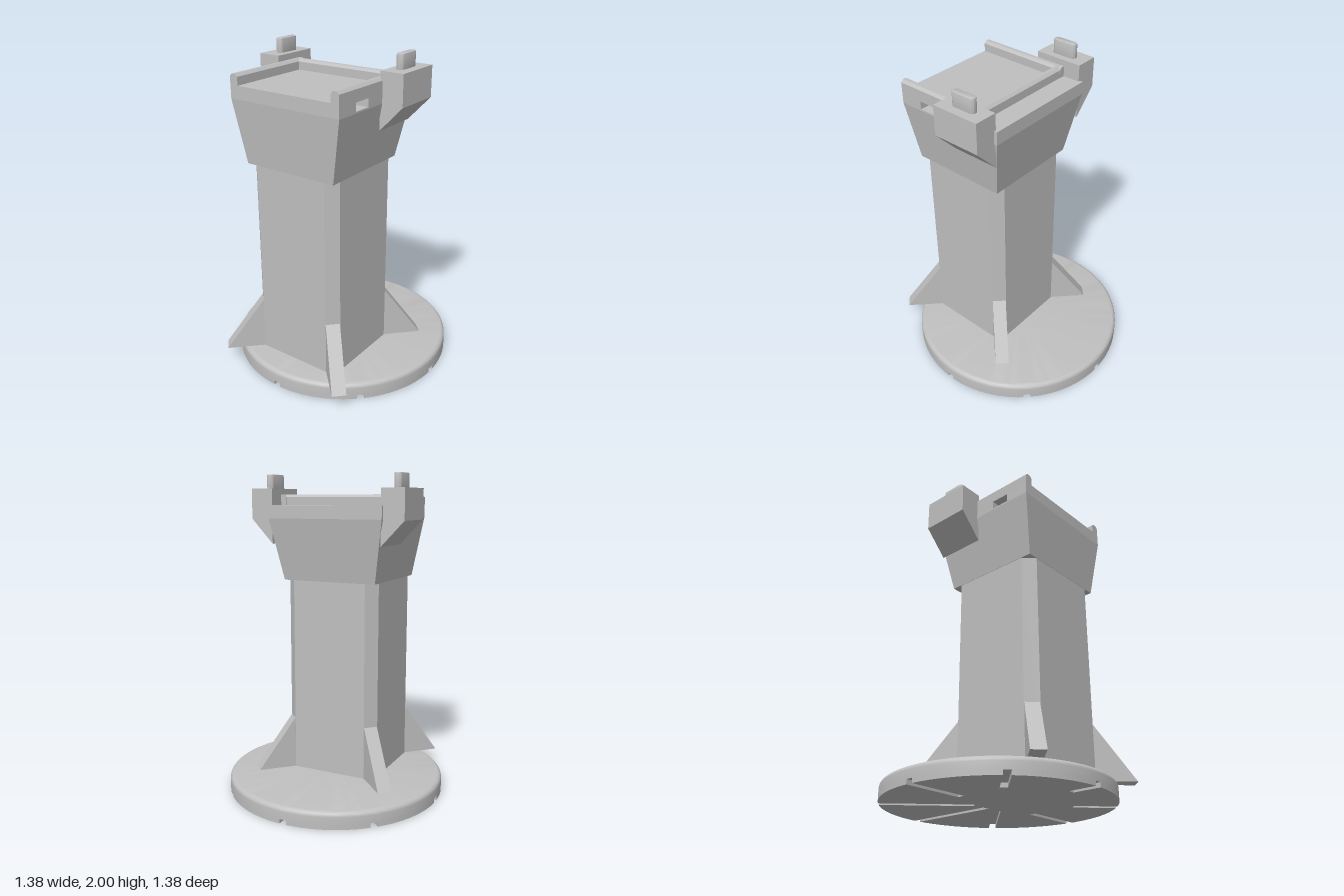
import * as THREE from 'three';
import { toCreasedNormals } from 'three/addons/utils/BufferGeometryUtils.js';

const COL_Z = 0.207; // centre of the square column
const HALF = 0.309; // half width of the column

export function createModel() {
  const group = new THREE.Group();
  const grey = new THREE.MeshStandardMaterial({ name: 'grey plastic', color: 0xbfbfbf });

  const add = (name, geometry, x = 0, y = 0, z = 0, ry = 0) => {
    const mesh = new THREE.Mesh(geometry, grey);
    mesh.name = name;
    mesh.position.set(x, y, z);
    mesh.rotation.y = ry;
    group.add(mesh);
    return mesh;
  };
  const poly = (pts) => new THREE.Shape(pts.map(([x, y]) => new THREE.Vector2(x, y)));
  const extrude = (shape, depth, options = {}) =>
    new THREE.ExtrudeGeometry(shape, { depth, bevelEnabled: false, ...options });

  // Round base with a softened upper rim
  const R = 0.69, slotTop = 0.028, baseTop = 0.105, round = 0.03;
  const profile = [new THREE.Vector2(0, slotTop), new THREE.Vector2(R, slotTop)];
  for (let i = 0; i <= 6; i++) {
    const a = (i / 6) * Math.PI / 2;
    profile.push(new THREE.Vector2(R - round + round * Math.cos(a), baseTop - round + round * Math.sin(a)));
  }
  profile.push(new THREE.Vector2(0, baseTop));
  add('base', toCreasedNormals(new THREE.LatheGeometry(profile, 96), 0.6));

  // Lower layer of the base, notched by eight radial slots that stop at the column outline
  const slotHalf = 0.022, slotAngle = Math.asin(slotHalf / R);
  const inner = [0.31, 0.14, 0.1, 0.14, 0.31, 0.435, 0.516, 0.435]; // from +x towards -z
  const outline = [];
  inner.forEach((r, i) => {
    const a = (i * Math.PI) / 4, c = Math.cos(a), s = Math.sin(a);
    outline.push([r * c + slotHalf * s, r * s - slotHalf * c], [r * c - slotHalf * s, r * s + slotHalf * c]);
    for (let k = 0; k <= 12; k++) {
      const t = a + slotAngle + (k / 12) * (Math.PI / 4 - 2 * slotAngle);
      outline.push([R * Math.cos(t), R * Math.sin(t)]);
    }
  });
  const slots = extrude(poly(outline), slotTop);
  slots.rotateX(-Math.PI / 2);
  add('slottedBaseLayer', toCreasedNormals(slots, 0.3));

  // Square column with chamfered corners
  const h = HALF, c = 0.245;
  const column = extrude(poly([[h, -c], [h, c], [c, h], [-c, h], [-h, c], [-h, -c], [-c, -h], [c, -h]]), 1.27);
  column.rotateX(-Math.PI / 2);
  add('column', column, 0, 0.09, COL_Z);

  // Triangular fins on the four corners
  const fin = extrude(poly([[0.34, 0.105], [0.634, 0.105], [0.392, 0.44], [0.34, 0.44]]), 0.086);
  fin.translate(0, 0, -0.043);
  for (let i = 0; i < 4; i++) add('cornerFin', fin, 0, 0, COL_Z, Math.PI / 4 + (i * Math.PI) / 2);

  // Head flaring out from the column
  const back = -0.175, front = 0.555, side = 0.38, flareTop = 1.73, floorY = 1.81;
  const flare = new THREE.BoxGeometry(2, 1, 2);
  const p = flare.attributes.position;
  for (let i = 0; i < p.count; i++) {
    const top = p.getY(i) > 0;
    const near = p.getZ(i) > 0;
    p.setXYZ(i, Math.sign(p.getX(i)) * (top ? side : 0.311), top ? flareTop : 1.345,
      top ? (near ? front : back) : (near ? 0.518 : -0.104));
  }
  flare.computeVertexNormals();
  add('flaredHead', flare);

  // Straight top of the head with a cross tunnel
  const block = poly([[-front, flareTop], [-back, flareTop], [-back, floorY], [-front, floorY]]);
  block.holes.push(new THREE.Path([[-0.405, 1.74], [-0.405, 1.79], [-0.29, 1.79], [-0.29, 1.74]]
    .map(([x, y]) => new THREE.Vector2(x, y))));
  const headTop = extrude(block, 2 * side);
  headTop.rotateY(Math.PI / 2);
  add('trayFloor', headTop, -side);

  // Chamfered tray walls on three sides
  const wallShape = poly([[-0.0275, 0], [0.0275, 0], [0.0275, 0.05], [0.011, 0.065], [-0.011, 0.065], [-0.0275, 0.05]]);
  for (const s of [-1, 1]) add('sideWall', extrude(wallShape, front + 0.045), s * (side - 0.0275), floorY, -0.045);
  add('backWall', extrude(wallShape, 0.724), -0.362, floorY, -0.015, Math.PI / 2);

  // Side brackets with slanted undersides, each carrying a rounded peg
  const pr = 0.019;
  const stadium = new THREE.Shape();
  stadium.absarc(0, 0.056, pr, 0, Math.PI);
  stadium.absarc(0, -0.056, pr, Math.PI, Math.PI * 2);
  const peg = extrude(stadium, 0.09, {
    bevelEnabled: true, bevelThickness: 0.012, bevelSize: 0.005, bevelSegments: 3, curveSegments: 10,
  });
  peg.rotateX(-Math.PI / 2);
  const pegGeometry = toCreasedNormals(peg, 0.6);
  for (const s of [-1, 1]) {
    const pts = [[0.365, 1.572], [0.512, 1.725], [0.512, 1.912], [0.365, 1.912]];
    add('sideBracket', extrude(poly(pts.map(([x, y]) => [s * x, y])), 0.31), 0, 0, -0.155);
    add('peg', pegGeometry, s * 0.432, 1.898);
  }
  return group;
}
